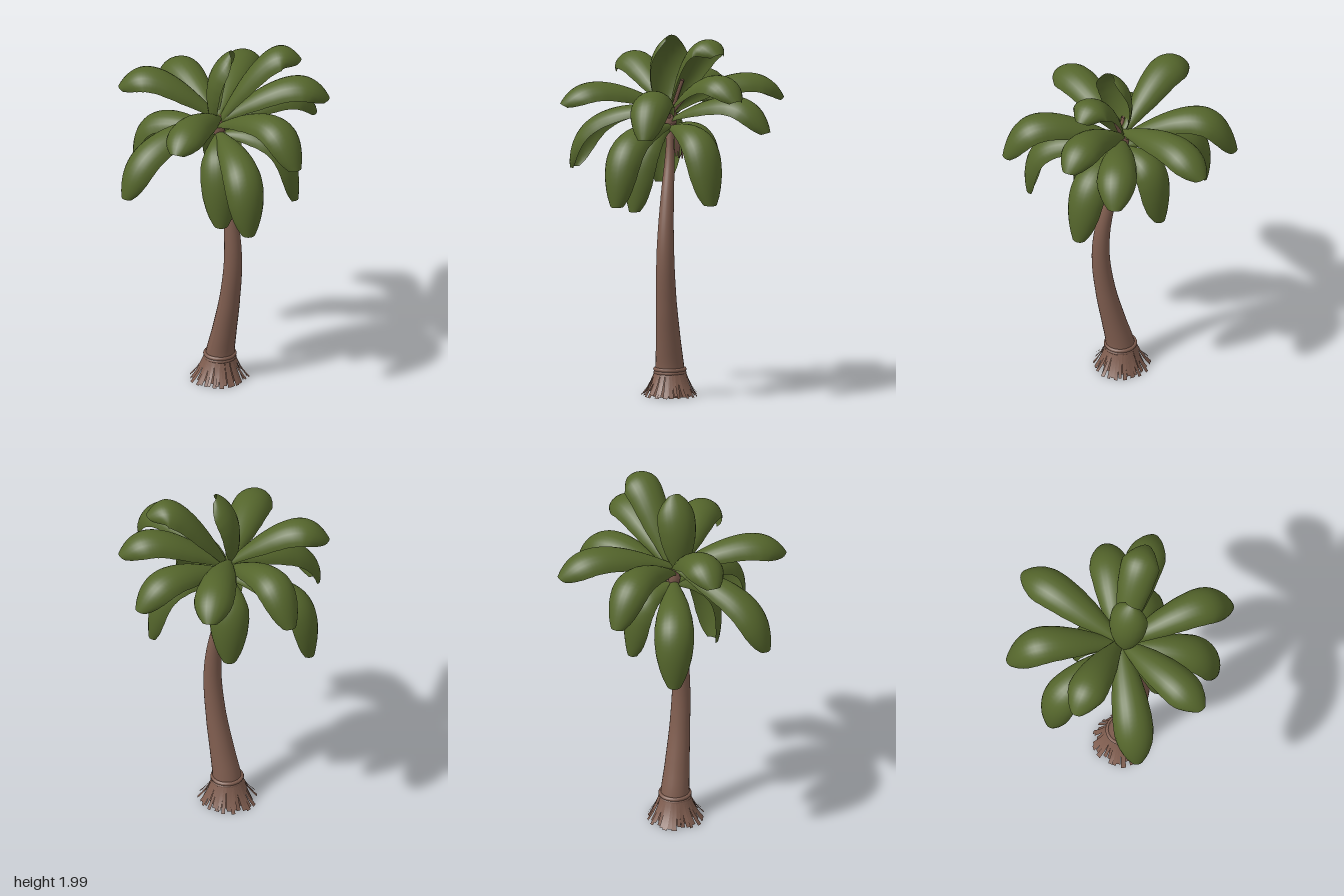
import * as THREE from 'three';

const V = (x, y, z) => new THREE.Vector3(x, y, z);

// small seeded random
function seeded(seed) {
  return () => {
    seed = (seed * 16807) % 2147483647;
    return seed / 2147483647;
  };
}

// linear interpolation in a list of [position, value] pairs
function sample(table, t) {
  let i = 0;
  while (i < table.length - 2 && t > table[i + 1][0]) i++;
  const [a, va] = table[i], [b, vb] = table[i + 1];
  return THREE.MathUtils.lerp(va, vb, THREE.MathUtils.clamp((t - a) / (b - a), 0, 1));
}

// moves every vertex of a geometry by a rule
function warp(geo, rule) {
  const p = geo.attributes.position, v = V(0, 0, 0);
  for (let i = 0; i < p.count; i++) {
    const q = rule(v.fromBufferAttribute(p, i));
    p.setXYZ(i, q.x, q.y, q.z);
  }
  geo.computeVertexNormals();
  return geo;
}

// half width of a frond along its length
const frondWidth = [[0, 0.022], [0.1, 0.053], [0.2, 0.08], [0.33, 0.098], [0.5, 0.108], [0.68, 0.109],
  [0.82, 0.1], [0.91, 0.082], [0.96, 0.064], [1, 0.04]];

// arched sheet swept along a curve, rounded across like a half tube
function frondGeometry(curve, side) {
  return warp(new THREE.PlaneGeometry(2, 1, 12, 24), (v) => {
    const t = v.y + 0.5, a = v.x * 1.5, w = sample(frondWidth, t);
    const up = side.clone().cross(curve.getTangent(t)).normalize();
    return curve.getPoint(t)
      .addScaledVector(side, w * Math.sin(a))
      .addScaledVector(up, -0.92 * w * (1 - Math.cos(a)));
  });
}

// ragged fibre: a narrow strip along a curve, facing outward at the given angle
function fibreGeometry(curve, angle, width, tip) {
  const side = V(-Math.sin(angle), 0, Math.cos(angle));
  return warp(new THREE.PlaneGeometry(1, 1, 1, 5), (v) => {
    const t = 0.5 - v.y;
    const w = THREE.MathUtils.lerp(width, tip, t);
    return curve.getPoint(t).addScaledVector(side, -v.x * w);
  });
}

export function createModel() {
  const tree = new THREE.Group();
  tree.name = 'palmTree';
  const green = new THREE.MeshStandardMaterial({ color: 0x55662c, side: THREE.DoubleSide });
  green.name = 'leafGreen';
  const brown = new THREE.MeshStandardMaterial({ color: 0x7f5d4f, side: THREE.DoubleSide });
  brown.name = 'barkBrown';
  const random = seeded(71);

  const add = (name, geo, mat, parent = tree) => {
    const m = new THREE.Mesh(geo, mat);
    m.name = name;
    parent.add(m);
    return m;
  };
  const group = (name) => {
    const g = new THREE.Group();
    g.name = name;
    tree.add(g);
    return g;
  };

  // leaning trunk, tapered and bent in an S
  const spine = new THREE.CatmullRomCurve3([
    V(-0.02, 0, 0), V(-0.012, 0.15, 0), V(0.022, 0.3, 0), V(0.066, 0.5, 0), V(0.094, 0.72, 0),
    V(0.088, 0.9, 0), V(0.05, 1.1, 0), V(-0.005, 1.3, 0), V(-0.03, 1.5, 0)]);
  const trunkRadius = [[0, 0.1], [0.09, 0.08], [0.2, 0.068], [0.35, 0.056], [0.55, 0.047],
    [0.8, 0.032], [0.92, 0.022], [1, 0.022]];
  add('trunk', warp(new THREE.CylinderGeometry(1, 1, 1, 24, 40), (v) => {
    const t = v.y + 0.5, r = sample(trunkRadius, t);
    return spine.getPointAt(t).add(V(v.x * r, 0, v.z * r));
  }), brown);

  // collar rings above the root skirt
  [[0.13, 0.079], [0.147, 0.08]].forEach(([y, r]) => {
    const ring = add('collarRing', new THREE.TorusGeometry(r, 0.011, 8, 28), brown);
    ring.rotation.x = Math.PI / 2;
    ring.position.set(-0.014, y, 0);
  });

  // flared skirt of fibres round the foot
  const skirt = group('rootSkirt');
  const count = 40;
  for (let i = 0; i < count; i++) {
    const a = (i / count) * Math.PI * 2 + (random() - 0.5) * 0.08;
    const foot = 0.132 + 0.036 * random(), low = (i % 2) * 0.018 * random();
    const at = (r, y) => V(-0.016 + Math.cos(a) * r, y, Math.sin(a) * r);
    const curve = new THREE.QuadraticBezierCurve3(at(0.084, 0.138), at(0.108, 0.06), at(foot, low));
    add('rootFibre', fibreGeometry(curve, a, 0.018, 0.016 + 0.012 * random()), brown, skirt);
  }

  // dry fibres hanging behind the crown
  const fringe = group('dryFringe');
  for (let i = 0; i < 14; i++) {
    const a = -Math.PI / 2 + (i - 6.5) * 0.13;
    const at = (r, y) => V(-0.02 + Math.cos(a) * r, y, Math.sin(a) * r);
    const curve = new THREE.QuadraticBezierCurve3(at(0.015, 1.5), at(0.08, 1.47),
      at(0.045 + 0.05 * random(), 1.3 + 0.07 * random()));
    add('dryFibre', fibreGeometry(curve, a, 0.026, 0.012), brown, fringe);
  }

  // crown core where the stalks meet
  const core = add('crownCore', new THREE.SphereGeometry(0.035, 16, 12), brown);
  core.position.set(-0.025, 1.52, 0);
  core.scale.y = 2;

  // fronds: tip x, y, z, then the reach and height of the bend, then the height of the base
  const fronds = [
    [0.635, 1.49, -0.005, 0.88, 1.95, 1.53],
    [0.47, 1.09, 0.2, 1.16, 1.62, 1.49],
    [0.25, 1.62, 0.55, 0.77, 1.87, 1.58],
    [-0.145, 1.22, 0.585, 1.0, 1.62, 1.59],
    [-0.43, 1.73, 0.37, 0.72, 2.02, 1.58],
    [-0.51, 1.1, 0.16, 1.2, 1.66, 1.49],
    [-0.635, 1.49, -0.14, 0.86, 1.97, 1.55],
    [-0.39, 1.61, -0.545, 0.78, 1.9, 1.59],
    [0.11, 1.48, -0.585, 0.82, 1.83, 1.52],
    [0.355, 1.68, -0.47, 0.76, 1.98, 1.56],
    [0.265, 1.92, -0.345, 0.62, 2.17, 1.56],
    [0.195, 1.03, 0.17, 1.24, 1.53, 1.48],
    [-0.22, 1.09, -0.2, 1.28, 1.57, 1.48],
    [0.28, 1.09, -0.31, 1.1, 1.62, 1.48],
    [0.045, 1.99, -0.02, -1.1, 1.86, 1.52, 0.04],
  ];
  const crown = group('crown');
  fronds.forEach(([x, y, z, reach, bend, baseY, baseZ = 0]) => {
    const base = V(-0.025, baseY, baseZ);
    const out = V(x - base.x, 0, z - base.z);
    const ctrl = base.clone().addScaledVector(out, reach).setY(bend);
    const curve = new THREE.QuadraticBezierCurve3(base, ctrl, V(x, y, z));
    const side = out.normalize().cross(V(0, 1, 0));
    add('frond', frondGeometry(curve, side), green, crown);
    // stalk tucked under the base of the frond
    const stalk = new THREE.CatmullRomCurve3([0, 0.06, 0.12, 0.18].map((t) => {
      const up = side.clone().cross(curve.getTangent(t));
      return curve.getPoint(t).addScaledVector(up, -0.014);
    }));
    add('stalk', new THREE.TubeGeometry(stalk, 8, 0.01, 8), brown, crown);
  });

  return tree;
}
